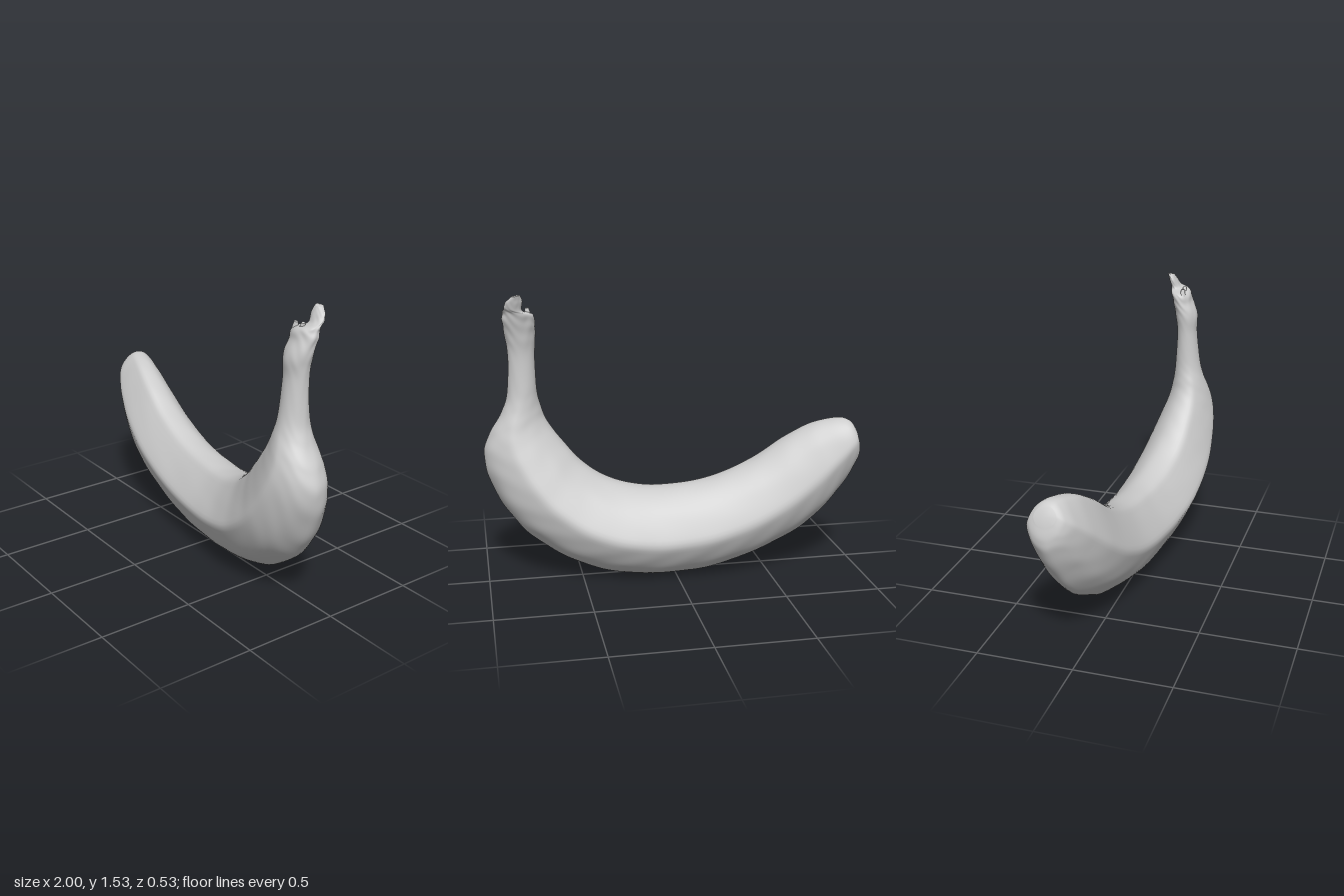
import * as THREE from 'three';

const material = new THREE.MeshStandardMaterial({ color: 0xcccccc, roughness: 0.8 });
const SIDES = 72, STEPS = 200;

// Stations from blossom tip to stem end:
// [outer x, outer y, inner x, inner y, back z, front z, roundness]
const tipAndBody = [
  [-0.988, 0.73, -0.948, 0.824, -0.185, -0.075, 0.8],
  [-1.0, 0.66, -0.912, 0.84, -0.22, -0.035, 0.5],
  [-0.98, 0.58, -0.85, 0.836, -0.24, 0.005, 0.2],
  [-0.9, 0.44, -0.74, 0.805, -0.25, 0.055, 0],
  [-0.76, 0.28, -0.6, 0.727, -0.258, 0.1, 0],
  [-0.55, 0.15, -0.42, 0.61, -0.265, 0.13, 0],
  [-0.28, 0.048, -0.2, 0.52, -0.265, 0.15, 0],
  [0.0, 0.004, 0.03, 0.487, -0.26, 0.175, 0],
  [0.27, 0.014, 0.2, 0.492, -0.245, 0.205, 0],
  [0.52, 0.08, 0.36, 0.54, -0.215, 0.24, 0],
];
const neckAndStem = [
  [0.74, 0.215, 0.48, 0.62, -0.17, 0.262, 0.05],
  [0.88, 0.365, 0.56, 0.71, -0.125, 0.265, 0.15],
  [0.97, 0.54, 0.63, 0.8, -0.075, 0.255, 0.3],
  [0.998, 0.68, 0.67, 0.87, -0.035, 0.235, 0.5],
  [0.965, 0.79, 0.69, 0.93, -0.01, 0.21, 0.7],
  [0.9, 0.9, 0.705, 0.99, 0.01, 0.18, 0.9],
  [0.865, 1.01, 0.712, 1.06, 0.02, 0.16, 1],
  [0.855, 1.2, 0.715, 1.2, 0.027, 0.14, 1],
  [0.865, 1.3, 0.71, 1.3, 0.015, 0.14, 1],
  [0.878, 1.39, 0.71, 1.37, 0.0, 0.108, 1],
  [0.873, 1.44, 0.722, 1.425, -0.014, 0.09, 1],
  [0.868, 1.465, 0.775, 1.448, -0.022, 0.035, 1],
  [0.86, 1.495, 0.775, 1.5, -0.034, 0.01, 1],
  [0.83, 1.525, 0.785, 1.532, -0.042, -0.008, 1],
];
const stations = [...tipAndBody, ...neckAndStem];

// Ridged five-sided section: (across z, outer -1 to inner +1)
const ridged = new THREE.CatmullRomCurve3(
  [[0.1, 1], [0.42, 0.94], [0.55, 0.8], [0.95, 0.2], [1, 0.07], [0.95, -0.08], [0.65, -0.6], [0.15, -0.96],
    [0, -1], [-0.2, -0.97], [-0.62, -0.72], [-0.95, -0.25], [-1, -0.1], [-0.93, 0.1], [-0.6, 0.62], [-0.2, 0.94]]
    .map(([w, u]) => new THREE.Vector3(w, u, 0)), true, 'centripetal').getSpacedPoints(SIDES);

// Smooth value of one station column at t in 0..1
function sample(column, t) {
  const f = t * (stations.length - 1), i = Math.min(Math.floor(f), stations.length - 2);
  const at = k => stations[THREE.MathUtils.clamp(k, 0, stations.length - 1)][column];
  const k = f - i, a = at(i - 1), b = at(i), c = at(i + 1), d = at(i + 2);
  return b + 0.5 * k * (c - a + k * (2 * a - 5 * b + 4 * c - d + k * (3 * (b - c) + d - a)));
}

// Closed skin lofted through the stations
function skinGeometry() {
  const positions = [], indices = [];
  for (let s = 0; s <= STEPS; s++) {
    const t = s / STEPS;
    const [ox, oy, ix, iy, z0, z1, round] = [0, 1, 2, 3, 4, 5, 6].map(c => sample(c, t));
    const r = THREE.MathUtils.clamp(round, 0, 1);
    for (let j = 0; j < SIDES; j++) {
      const angle = (j / SIDES) * Math.PI * 2;
      let w = THREE.MathUtils.lerp(ridged[j].x, Math.sin(angle), r);
      let u = THREE.MathUtils.lerp(ridged[j].y, Math.cos(angle), r);
      // Gentle lumps, stronger along the outer curve and the dry stem
      const lump = 1 + (0.003 + 0.009 * Math.max(0, -u) + 0.025 * THREE.MathUtils.smoothstep(t, 0.72, 0.85))
        * Math.sin(t * 110 + 2 * Math.sin(angle * 3)) * Math.sin(angle * 4 + t * 37);
      w *= lump;
      u *= lump;
      positions.push((ox + ix) / 2 + u * (ix - ox) / 2, Math.max(0, (oy + iy) / 2 + u * (iy - oy) / 2),
        (z0 + z1) / 2 + w * (z1 - z0) / 2);
    }
  }
  for (let s = 0; s < STEPS; s++) for (let j = 0; j < SIDES; j++) {
    const a = s * SIDES + j, b = s * SIDES + (j + 1) % SIDES;
    indices.push(a, b, a + SIDES, b, b + SIDES, a + SIDES);
  }
  // End caps
  const first = positions.length / 3, last = STEPS * SIDES;
  positions.push(-0.975, 0.782, -0.13, 0.807, 1.532, -0.027);
  for (let j = 0; j < SIDES; j++) {
    const n = (j + 1) % SIDES;
    indices.push(first, n, j, first + 1, last + j, last + n);
  }
  const geometry = new THREE.BufferGeometry();
  geometry.setAttribute('position', new THREE.Float32BufferAttribute(positions, 3));
  geometry.setIndex(indices);
  geometry.computeVertexNormals();
  return geometry;
}

export function createModel() {
  const group = new THREE.Group();
  group.name = 'banana';
  const add = (name, geometry) => {
    const mesh = new THREE.Mesh(geometry, material);
    mesh.name = name;
    group.add(mesh);
    return mesh;
  };

  add('peel', skinGeometry());

  // Torn fibres rising from the broken stem end: [x, y, z, radius, height, tilt]
  [[0.745, 1.425, 0.062, 0.022, 0.06, -0.15],
    [0.79, 1.43, 0.06, 0.02, 0.06, -0.3]].forEach(([x, y, z, radius, height, tilt]) => {
    const fibre = add('stemFibre', new THREE.CylinderGeometry(radius * 0.45, radius, height, 12));
    fibre.position.set(x, y, z);
    fibre.rotation.z = tilt;
  });

  return group;
}
